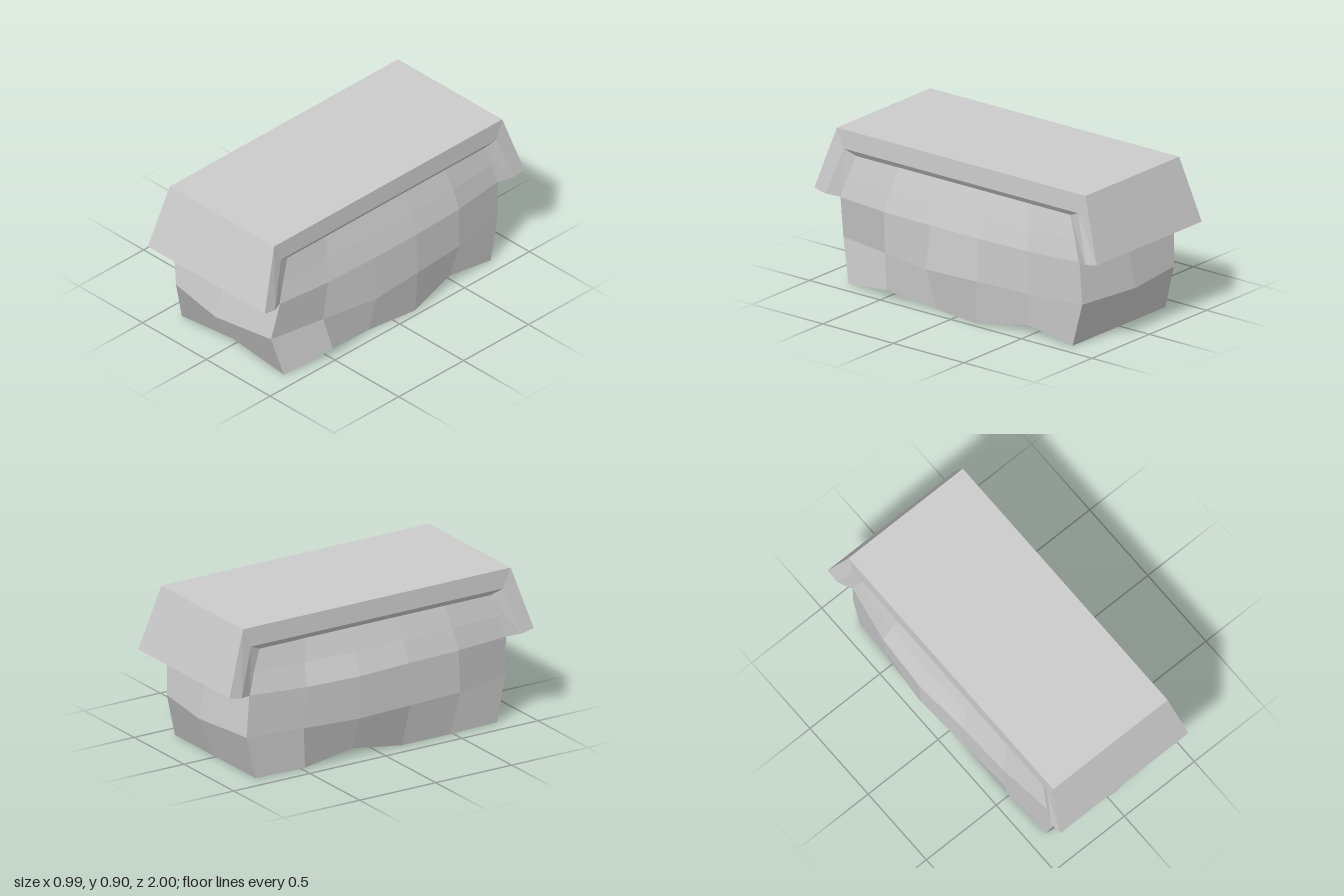
import * as THREE from 'three';

const clothMaterial = new THREE.MeshStandardMaterial({ color: 0xcccccc, flatShading: true, side: THREE.DoubleSide });
const bodyMaterial = new THREE.MeshStandardMaterial({ color: 0xcccccc });

// Lumpy body: a segmented box whose grid rows are pushed in and out.
// Rows run bottom to top, entries run front to back.
const leftX = [
  [0.405, 0.465, 0.42, 0.465, 0.41, 0.41],
  [0.37, 0.43, 0.495, 0.475, 0.45, 0.4],
  [0.42, 0.455, 0.465, 0.465, 0.455, 0.412],
  [0.405, 0.425, 0.43, 0.43, 0.425, 0.405],
  [0.388, 0.388, 0.388, 0.388, 0.388, 0.388],
];
const rightX = [
  [0.395, 0.41, 0.41, 0.4, 0.41, 0.4],
  [0.375, 0.45, 0.47, 0.49, 0.45, 0.4],
  [0.415, 0.455, 0.47, 0.495, 0.475, 0.412],
  [0.405, 0.425, 0.43, 0.435, 0.43, 0.405],
  [0.388, 0.388, 0.388, 0.388, 0.388, 0.388],
];
const rowY = [0, 0.25, 0.5, 0.625, 0.76];
const frontZ = [0.8, 0.865, 0.845, 0.81, 0.76];
const backZ = [0.79, 0.85, 0.84, 0.81, 0.76];
// Lifted points of the underside, for right, middle and left
const lift = [[0, 0, 0, 0.045, 0, 0], [0.045, 0, 0, 0, 0, 0], [0, 0.05, 0, 0, 0.05, 0]];

// One shared normal per four-sided patch, so each patch has an even shade
function shadePatches(geometry) {
  const normal = geometry.attributes.normal;
  const a = new THREE.Vector3();
  const b = new THREE.Vector3();
  for (let i = 0; i < normal.count; i += 6) {
    a.fromBufferAttribute(normal, i).add(b.fromBufferAttribute(normal, i + 3)).normalize();
    for (let k = 0; k < 6; k++) normal.setXYZ(i + k, a.x, a.y, a.z);
  }
}

function makeBody() {
  const geometry = new THREE.BoxGeometry(2, 4, 5, 2, 4, 5).toNonIndexed();
  const p = geometry.attributes.position;
  for (let i = 0; i < p.count; i++) {
    const side = Math.round(p.getX(i));
    const row = Math.round(p.getY(i) + 2);
    const col = Math.round(2.5 - p.getZ(i));
    const x = side > 0 ? leftX[row][col] : side < 0 ? -rightX[row][col] : 0;
    const y = rowY[row] + (row === 0 ? lift[side + 1][col] : 0);
    let z = THREE.MathUtils.lerp(frontZ[row], -backZ[row], col / 5);
    // The middle of each end bulges at the second row
    if (side === 0 && row === 1) z += col === 0 ? 0.065 : col === 5 ? -0.055 : 0;
    p.setXYZ(i, x, y, z);
  }
  geometry.computeVertexNormals();
  shadePatches(geometry);
  const mesh = new THREE.Mesh(geometry, bodyMaterial);
  mesh.name = 'body';
  return mesh;
}

// Draped cover: one quarter is defined and mirrored four ways
function makeCover() {
  const top = [0.409, 0.896, 0.88];
  const hem = [0.458, 0.53, 1];
  const hemBack = [0.458, 0.515, 0.92];
  const notch = [0.412, 0.785, 0.83];
  const hemInner = [0.416, 0.5, 0.84];
  const notchInner = [0.388, 0.75, 0.755];
  const midX = ([, y, z]) => [0, y, z];
  const midZ = ([x, y]) => [x, y, 0];

  const faces = [
    [[0, top[1], 0], midX(top), top, midZ(top)], // flat top
    [midX(top), midX(hem), hem, top], // end flap
    [midX(hem), midX(hemInner), hemInner, hem], // underside of flap
    [hem, hemInner, hemBack],
    [top, hem, hemBack, notch], // side of flap
    [top, notch, midZ(notch), midZ(top)], // short side flap
    [notch, hemBack, hemInner, notchInner], // bevels into the opening
    [notch, notchInner, midZ(notchInner), midZ(notch)],
  ];

  const positions = [];
  for (const sx of [1, -1]) {
    for (const sz of [1, -1]) {
      for (const face of faces) {
        const corners = face.map(([x, y, z]) => [x * sx, y, z * sz]);
        if (sx * sz < 0) corners.reverse();
        for (let i = 1; i < corners.length - 1; i++) {
          positions.push(...corners[0], ...corners[i], ...corners[i + 1]);
        }
      }
    }
  }
  const geometry = new THREE.BufferGeometry();
  geometry.setAttribute('position', new THREE.Float32BufferAttribute(positions, 3));
  geometry.computeVertexNormals();
  const mesh = new THREE.Mesh(geometry, clothMaterial);
  mesh.name = 'cover';
  return mesh;
}

export function createModel() {
  const group = new THREE.Group();
  group.name = 'coveredBlock';
  group.add(makeBody(), makeCover());
  return group;
}
